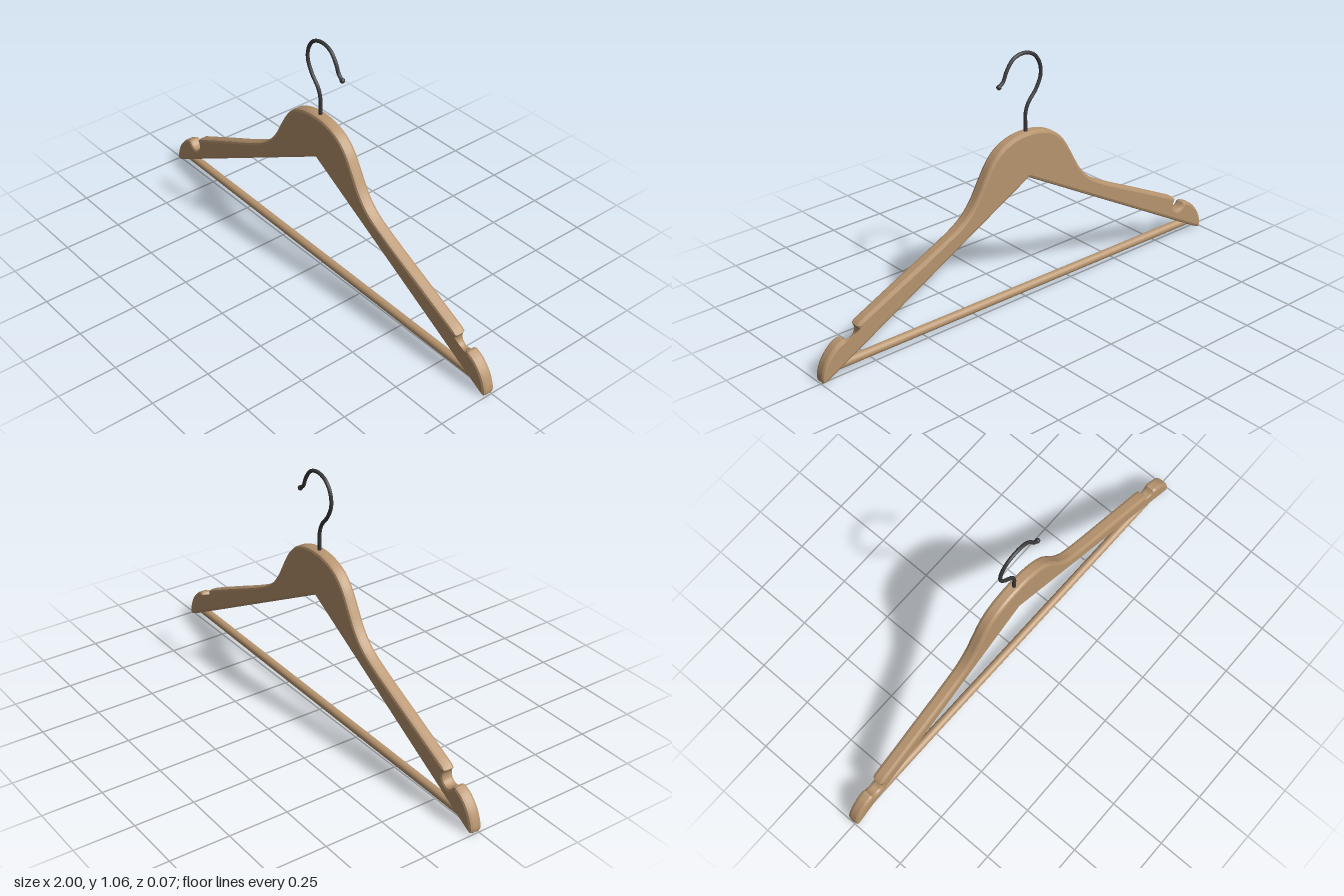
import * as THREE from 'three';
import { toCreasedNormals } from 'three/addons/utils/BufferGeometryUtils.js';

const wood = new THREE.MeshStandardMaterial({ name: 'wood', color: 0xb8956f });
const metal = new THREE.MeshStandardMaterial({ name: 'darkMetal', color: 0x3a3a3c });

const DEPTH = 0.052, BEVEL = 0.012;

const spline = (pts, n) => new THREE.SplineCurve(pts.map(([x, y]) => new THREE.Vector2(x, y))).getPoints(n);
const mirror = (pts) => pts.map(([x, y]) => [-x, y]).reverse();

function bodyGeometry() {
  // shoulder line from the crown to the notch
  const shoulder = [[0.07, 0.729], [0.135, 0.702], [0.185, 0.655], [0.225, 0.59], [0.27, 0.512],
    [0.33, 0.448], [0.435, 0.388], [0.63, 0.295], [0.82, 0.203]];
  // strap notch, then the rounded tip
  const notch = [[0.833, 0.19], [0.824, 0.168], [0.829, 0.145], [0.85, 0.131], [0.873, 0.137], [0.888, 0.154]];
  const tip = [[0.9, 0.156], [0.935, 0.138], [0.972, 0.098], [0.992, 0.055], [0.998, 0.02], [0.99, 0.006], [0.965, 0.015]];

  const top = spline([...mirror(shoulder), [0, 0.737], ...shoulder], 72);
  const end = [...spline(notch, 20), ...spline(tip, 24)];
  const leftEnd = end.map((p) => new THREE.Vector2(-p.x, p.y)).reverse();
  const shape = new THREE.Shape([...top, ...end, new THREE.Vector2(0, 0.545), ...leftEnd]);

  const geo = new THREE.ExtrudeGeometry(shape, {
    depth: DEPTH - 2 * BEVEL, bevelThickness: BEVEL, bevelSize: BEVEL, bevelOffset: -BEVEL, bevelSegments: 2,
  });
  geo.translate(0, 0, BEVEL - DEPTH / 2);
  return toCreasedNormals(geo, 0.35);
}

export function createModel() {
  const hanger = new THREE.Group();
  hanger.name = 'coatHanger';
  const add = (name, geo, mat) => {
    const mesh = new THREE.Mesh(geo, mat);
    mesh.name = name;
    hanger.add(mesh);
    return mesh;
  };

  add('shoulders', bodyGeometry(), wood);

  // trouser bar
  const bar = add('trouserBar', new THREE.CylinderGeometry(0.018, 0.018, 1.85, 24), wood);
  bar.rotation.z = Math.PI / 2;
  bar.position.y = 0.048;

  // bent wire hook with a ball end
  const path = [[0, 0.7], [0, 0.76], [0, 0.81], [-0.014, 0.85], [-0.053, 0.898], [-0.076, 0.95], [-0.071, 1.0],
    [-0.041, 1.042], [0.01, 1.059], [0.06, 1.046], [0.093, 1.006], [0.11, 0.968], [0.131, 0.95]]
    .map(([x, y]) => new THREE.Vector3(x, y, 0));
  add('hook', new THREE.TubeGeometry(new THREE.CatmullRomCurve3(path), 90, 0.0075, 12), metal);
  add('hookEnd', new THREE.SphereGeometry(0.0105, 16, 12), metal).position.copy(path[path.length - 1]);

  // slight turn about the upright axis
  hanger.rotation.y = -0.011;
  const model = new THREE.Group();
  model.name = 'model';
  model.add(hanger);
  return model;
}
